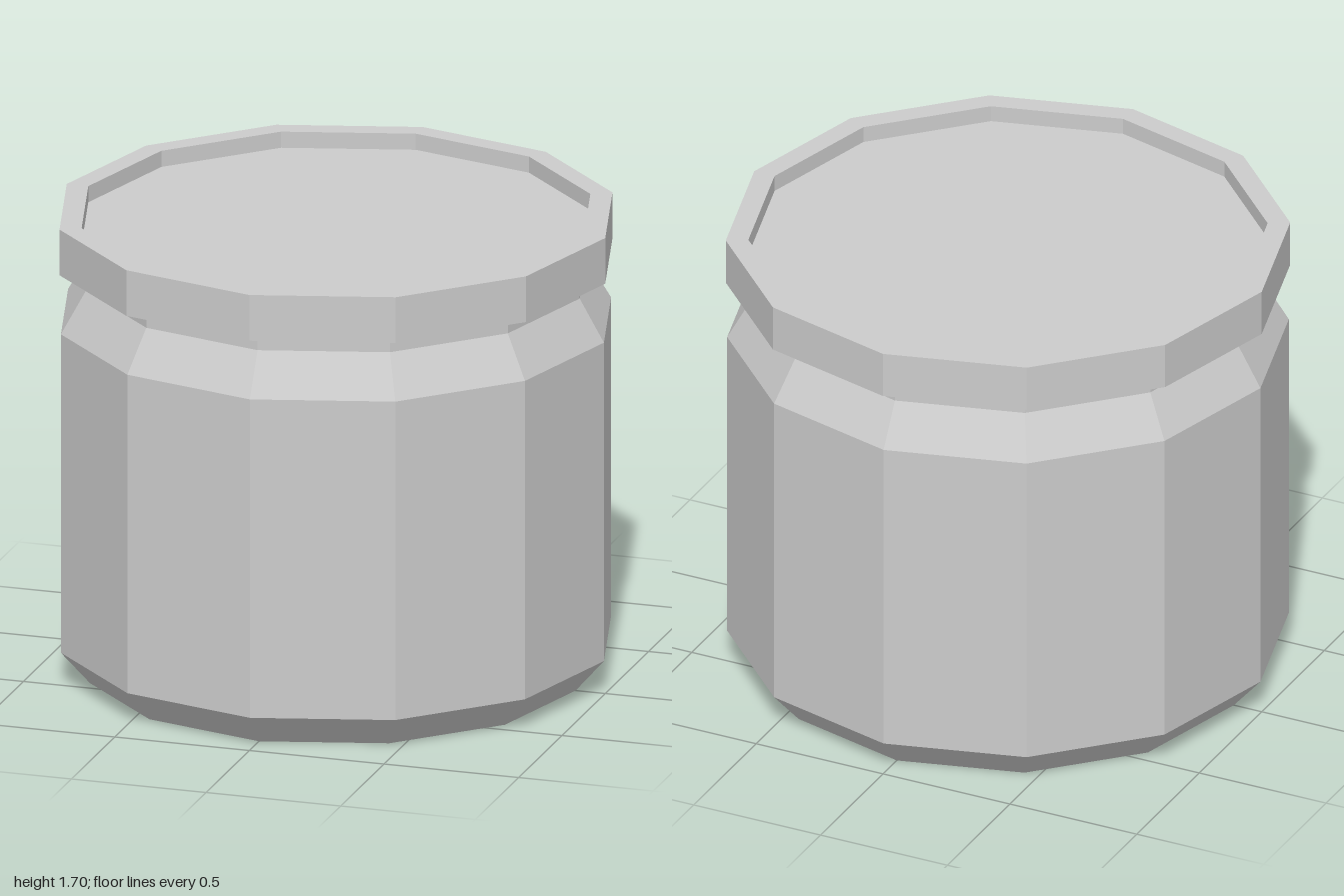
import * as THREE from 'three';

const SIDES = 12;

// Faceted solid of revolution from a bottom-to-top outline of [radius, height]
function turned(name, outline, material) {
  const points = outline.map(([r, y]) => new THREE.Vector2(r, y));
  const mesh = new THREE.Mesh(new THREE.LatheGeometry(points, SIDES), material);
  mesh.name = name;
  return mesh;
}

export function createModel() {
  const group = new THREE.Group();
  group.name = 'jar';
  const material = new THREE.MeshStandardMaterial({ color: 0xcccccc, flatShading: true });

  // Body: chamfered base, straight wall, sloped shoulder and short neck
  group.add(turned('jarBody', [
    [0, 0], [0.89, 0], [0.995, 0.12], [0.995, 1.305], [0.905, 1.46], [0.905, 1.525],
  ], material));

  // Lid: overhanging disc with a raised rim around a recessed top
  group.add(turned('lid', [
    [0, 1.525], [1, 1.525], [1, 1.695], [0.92, 1.695], [0.92, 1.635], [0, 1.635],
  ], material));

  return group;
}
